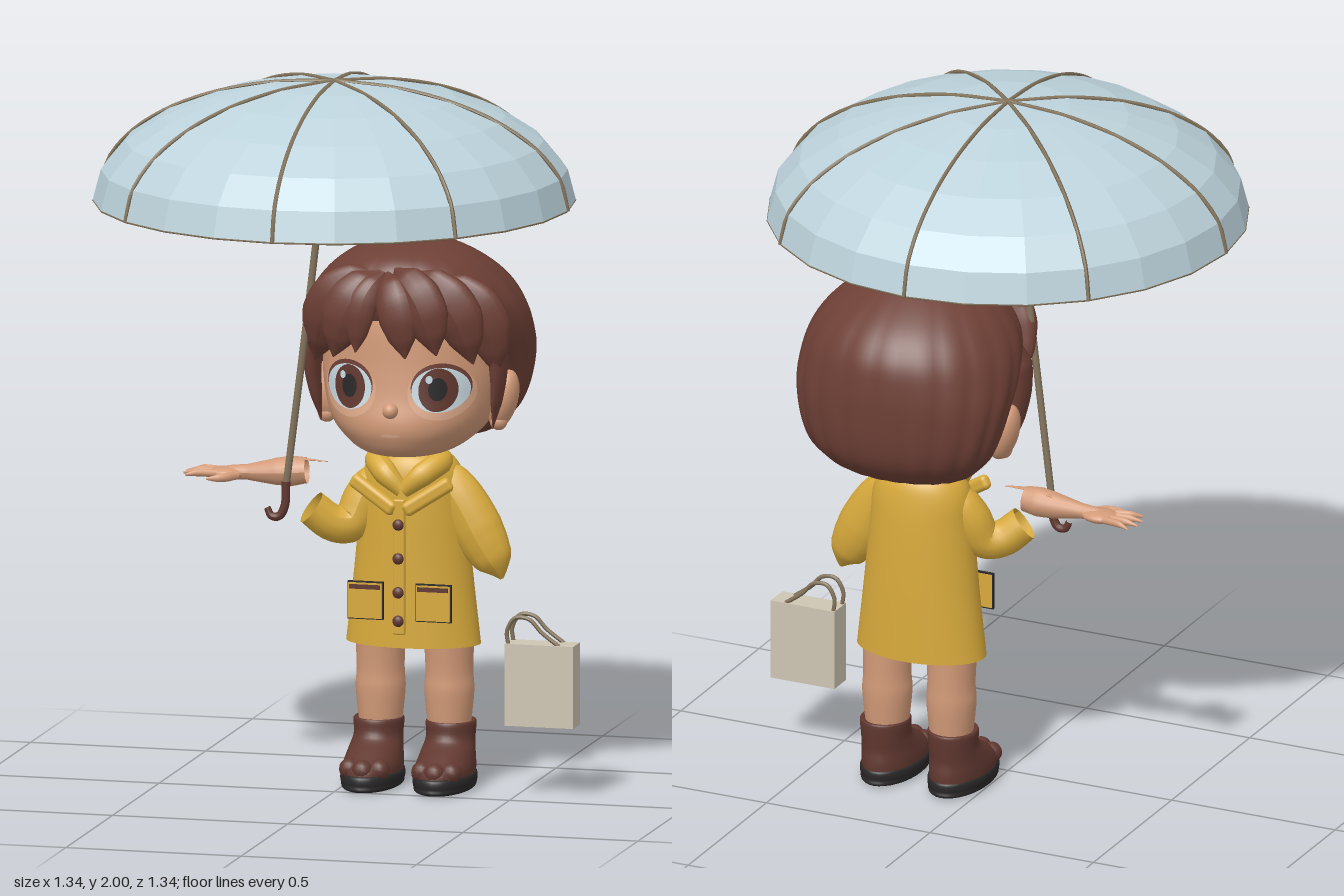
import * as THREE from 'three';
import { RoundedBoxGeometry } from 'three/addons/geometries/RoundedBoxGeometry.js';

const V = (x, y, z) => new THREE.Vector3(x, y, z);
const mat = (name, color, side = THREE.FrontSide) => {
  const m = new THREE.MeshStandardMaterial({ color, side });
  m.name = name;
  return m;
};

// Smooth sampler through keys of [y, rx, rz, cz]
function profile(keys) {
  const a = new THREE.CatmullRomCurve3(keys.map(k => V(k[0], k[1], k[2])), false, 'catmullrom', 0.5);
  const b = new THREE.CatmullRomCurve3(keys.map(k => V(k[3], 0, 0)), false, 'catmullrom', 0.5);
  return t => {
    const p = a.getPoint(t);
    return { y: p.x, rx: Math.max(p.y, 0.001), rz: Math.max(p.z, 0.001), cz: b.getPoint(t).x };
  };
}

// Stack of ellipses, with an optional ripple(angle, t) scaling the radius
function loft(keys, seg = 36, rows = 30, ripple = () => 1) {
  const at = profile(keys), pos = [], idx = [];
  for (let i = 0; i <= rows; i++) {
    const p = at(i / rows);
    for (let j = 0; j < seg; j++) {
      const a = j / seg * Math.PI * 2, r = ripple(a, i / rows);
      pos.push(p.rx * r * Math.sin(a), p.y, p.cz + p.rz * r * Math.cos(a));
      if (i === rows) continue;
      const k = (j + 1) % seg, n = i * seg;
      idx.push(n + j, n + k, n + seg + j, n + k, n + seg + k, n + seg + j);
    }
  }
  const g = new THREE.BufferGeometry();
  g.setAttribute('position', new THREE.Float32BufferAttribute(pos, 3));
  g.setIndex(idx);
  g.computeVertexNormals();
  return g;
}

// Tube through points with changing radius and an optional flattening per axis
function sweep(points, radii, flat = [1, 1, 1], n = 24, sides = 14) {
  const curve = new THREE.CatmullRomCurve3(points.map(p => V(...p)));
  const g = new THREE.TubeGeometry(curve, n, 1, sides);
  const pos = g.attributes.position, v = V(0, 0, 0);
  for (let i = 0; i <= n; i++) {
    const c = curve.getPointAt(i / n), f = i / n * (radii.length - 1);
    const k = Math.min(Math.floor(f), radii.length - 2);
    const r = THREE.MathUtils.lerp(radii[k], radii[k + 1], f - k);
    for (let j = 0; j <= sides; j++) {
      const q = i * (sides + 1) + j;
      v.fromBufferAttribute(pos, q).sub(c).multiplyScalar(r);
      pos.setXYZ(q, c.x + v.x * flat[0], c.y + v.y * flat[1], c.z + v.z * flat[2]);
    }
  }
  g.computeVertexNormals();
  return g;
}

const HEAD = [[.94, .01, .01, -.08], [.955, .12, .14, -.11], [1, .19, .22, -.15], [1.05, .225, .24, -.16],
  [1.12, .245, .235, -.17], [1.2, .25, .225, -.17], [1.35, .24, .22, -.18], [1.45, .17, .17, -.19], [1.5, .01, .01, -.19]];
const headAt = profile(HEAD);
function faceZ(x, y) {
  let lo = 0, hi = 1;
  for (let i = 0; i < 24; i++) {
    const m = (lo + hi) / 2;
    if (headAt(m).y < y) lo = m; else hi = m;
  }
  const p = headAt(lo);
  return p.cz + p.rz * Math.sqrt(Math.max(0, 1 - (x / p.rx) ** 2));
}

// Thin ellipse wrapped on the face
function facePatch(x, y, rx, ry, lift) {
  const g = new THREE.RingGeometry(0, 1, 36, 6), p = g.attributes.position;
  for (let i = 0; i < p.count; i++) {
    const px = x + p.getX(i) * rx, py = y + p.getY(i) * ry;
    p.setXYZ(i, px, py, faceZ(px, py) + lift);
  }
  g.computeVertexNormals();
  return g;
}

export function createModel() {
  const M = {
    skin: mat('skin', 0xd29a78, THREE.DoubleSide), lid: mat('eyelid peach', 0xdca98a),
    hair: mat('hair brown', 0x6e4036), coat: mat('coat yellow', 0xd8aa3c, THREE.DoubleSide),
    canopy: mat('canopy blue', 0xbdd3dc, THREE.DoubleSide), metal: mat('frame taupe', 0x83745c),
    bag: mat('paper beige', 0xcec5b2), brown: mat('leather brown', 0x613830),
    black: mat('sole black', 0x2a2828), white: mat('eye white', 0xc9dbe3),
  };
  const root = new THREE.Group();
  const group = (name, x = 0, y = 0, z = 0) => {
    const g = new THREE.Group();
    g.name = name;
    g.position.set(x, y, z);
    root.add(g);
    return g;
  };
  const add = (parent, name, geo, m, x = 0, y = 0, z = 0) => {
    const mesh = new THREE.Mesh(geo, m);
    mesh.name = name;
    mesh.position.set(x, y, z);
    parent.add(mesh);
    return mesh;
  };

  // Umbrella: faceted dome, ribs, rim, tilted shaft and hooked handle
  const umbrella = group('umbrella');
  const R = .667, H = .335, RIM = 1.66;
  const dome = new THREE.SphereGeometry(R, 24, 6, 0, Math.PI * 2, 0, Math.PI / 2).scale(1, H / R, 1).toNonIndexed();
  dome.computeVertexNormals();
  add(umbrella, 'canopy', dome, M.canopy, 0, RIM);
  for (let i = 0; i < 8; i++) {
    const a = i * Math.PI / 4, pts = [];
    for (let k = 0; k <= 6; k++) {
      const t = k * Math.PI / 12, r = R * Math.sin(t);
      pts.push([r * Math.sin(a), RIM + H * Math.cos(t), r * Math.cos(a)]);
    }
    add(umbrella, 'rib', sweep(pts, [.006, .006], undefined, 24, 6), M.metal);
  }
  add(umbrella, 'rim', new THREE.TorusGeometry(R - .002, .003, 5, 24).rotateX(Math.PI / 2), M.metal, 0, RIM);
  add(umbrella, 'shaft', sweep([[0, 1.99, 0], [-.07, 1.41, -.01], [-.145, .83, -.02]], [.01, .01]), M.metal);
  add(umbrella, 'hookHandle', sweep([[-.143, .86, -.02], [-.147, .79, -.02], [-.163, .762, -.02], [-.185, .762, -.02],
    [-.197, .785, -.02]], [.012, .012, .012, .012, .009]), M.brown);

  // Head with ears, nose, mouth and wrapped eyes
  const head = group('head', .18);
  add(head, 'face', loft(HEAD, 48, 40), M.skin);
  add(head, 'neck', new THREE.CylinderGeometry(.06, .065, .14, 24), M.skin, 0, .94, -.17);
  add(head, 'nose', new THREE.SphereGeometry(.022, 16, 12), M.skin, 0, 1.09, .077);
  add(head, 'mouth', facePatch(0, 1.02, .028, .005, .004), M.lid);
  for (const s of [-1, 1]) {
    const ear = add(head, 'ear', new THREE.SphereGeometry(1, 20, 14).scale(.04, .085, .05), M.skin, s * .255, 1.09, -.18);
    ear.rotation.z = -s * .25;
    add(head, 'earLobe', new THREE.SphereGeometry(.025, 14, 10), M.skin, s * .245, 1.03, -.165);
    add(head, 'eyelid', facePatch(s * .13, 1.14, .085, .077, .004), M.lid);
    add(head, 'lash', facePatch(s * .13, 1.155, .076, .066, .006), M.hair);
    add(head, 'eyeWhite', facePatch(s * .13, 1.147, .073, .062, .008), M.white);
    add(head, 'iris', facePatch(s * .126, 1.148, .05, .06, .011), M.brown);
    add(head, 'pupil', facePatch(s * .126, 1.15, .024, .032, .0125), M.black);
    add(head, 'eyeGlint', facePatch(s * .126 - .022, 1.178, .009, .011, .014), M.white);
  }

  // Hair: grooved bob, swept fringe and side locks
  const hair = group('hair', .18);
  add(hair, 'bob', loft([[.965, .01, .01, -.28], [.975, .17, .1, -.29], [1.03, .25, .155, -.305], [1.1, .29, .18, -.31],
    [1.2, .315, .21, -.29], [1.28, .318, .25, -.25], [1.36, .3, .27, -.215], [1.43, .255, .24, -.195],
    [1.49, .185, .18, -.17], [1.525, .1, .1, -.17], [1.535, .001, .001, -.17]], 120, 44,
  (a, t) => 1 - .035 * (1 - t) * (1 - Math.abs(Math.sin(a * 10)))), M.hair);
  const fringe = [
    [[-.04, 1.46, 0], [-.17, 1.39, .01], [-.25, 1.2, -.05], .075],
    [[-.04, 1.47, .02], [-.12, 1.38, .06], [-.17, 1.23, .05], .07],
    [[-.03, 1.47, .03], [-.08, 1.39, .075], [-.1, 1.25, .075], .045],
    [[-.02, 1.47, .03], [.02, 1.38, .085], [.045, 1.24, .085], .058],
    [[0, 1.48, .02], [.09, 1.39, .075], [.13, 1.25, .07], .068],
    [[.04, 1.47, .01], [.17, 1.37, .03], [.22, 1.22, .01], .075],
    [[.1, 1.45, -.03], [.23, 1.36, -.03], [.27, 1.18, -.06], .07],
  ];
  for (const [a, b, c, r] of fringe)
    add(hair, 'fringeLock', sweep([a, b, c], [.005, r * .8, r, r * .95, r * .65, .002], [1, 1, .5]), M.hair);
  for (const s of [-1, 1])
    add(hair, 'sideLock', sweep([[s * .25, 1.33, -.09], [s * .265, 1.18, -.09], [s * .245, 1.02, -.105]],
      [.01, .055, .045, .03, .002], [.5, 1, 1]), M.hair);

  // Raincoat with collar, placket, buttons and pockets
  const coat = group('raincoat', .18);
  add(coat, 'coatBody', loft([[.4, .19, .117, -.175], [.6, .167, .115, -.175], [.78, .15, .112, -.172],
    [.87, .142, .105, -.17], [.92, .115, .09, -.17], [.95, .065, .06, -.17]], 40), M.coat);
  add(coat, 'placket', new RoundedBoxGeometry(.034, .38, .014, 2, .005), M.coat, 0, .635, -.02);
  for (const y of [.755, .66, .565, .485])
    add(coat, 'button', new THREE.SphereGeometry(.016, 14, 10).scale(1, 1, .7), M.brown, 0, y, -.008);
  for (const s of [-1, 1]) {
    const flap = add(coat, 'collarFlap', new RoundedBoxGeometry(.155, .042, .03, 3, .014), M.coat, s * .077, .833, -.033);
    flap.rotation.set(0, s * .2, s * .56);
    add(coat, 'collarRoll', sweep([[s * .085, .92, -.19], [s * .09, .915, -.12], [s * .05, .885, -.07], [0, .84, -.06]],
      [.02, .034, .034, .02]), M.coat);
    add(coat, 'pocketEdge', new THREE.BoxGeometry(.102, .106, .009), M.black, s * .097, .537, -.024);
    add(coat, 'pocket', new THREE.BoxGeometry(.095, .099, .014), M.coat, s * .097, .537, -.022);
    add(coat, 'pocketSlit', new THREE.BoxGeometry(.088, .012, .008), M.brown, s * .097, .576, -.014);
  }
  add(coat, 'leftSleeve', sweep([[.06, .89, -.165], [.13, .82, -.16], [.2, .7, -.158], [.245, .62, -.155], [.257, .59, -.155]],
    [.035, .062, .068, .072, .074, .068, .055, .005], [1, 1, .76]), M.coat);
  add(coat, 'rightSleeve', sweep([[-.07, .89, -.165], [-.13, .81, -.15], [-.165, .735, -.125], [-.21, .735, -.1], [-.265, .78, -.075]],
    [.035, .055, .058, .055, .052, .05]), M.coat);

  // Outstretched right forearm and hand
  const arm = group('rightArm');
  add(arm, 'forearm', sweep([[-.11, .875, -.12], [-.2, .868, -.115], [-.28, .864, -.11], [-.36, .86, -.11]],
    [.036, .042, .038, .03, .022, .02, .015]), M.skin);
  add(arm, 'elbowSliver', sweep([[-.2, .9, -.12], [-.12, .905, -.12], [-.05, .902, -.12]], [.012, .008, .002], [1, .4, 1.6]), M.skin);
  add(arm, 'palm', new THREE.SphereGeometry(1, 20, 12).scale(.055, .018, .042), M.skin, -.335, .86, -.11);
  for (let i = 0; i < 4; i++) {
    const o = i - 1.5;
    add(arm, 'finger', sweep([[-.35, .86, -.11 + o * .017], [-.41, .862, -.11 + o * .026], [-.462 + Math.abs(o) * .014, .857, -.11 + o * .034]],
      [.011, .011, .01, .003], undefined, 12, 8), M.skin);
  }
  add(arm, 'thumb', sweep([[-.3, .858, -.085], [-.335, .855, -.05], [-.375, .853, -.035]], [.012, .013, .011, .003], undefined, 12, 8), M.skin);

  // Legs and boots
  for (const s of [-1, 1]) {
    const leg = group(s < 0 ? 'rightLeg' : 'leftLeg', .18 + s * .098);
    add(leg, 'leg', loft([[.14, .056, .062, -.19], [.21, .064, .068, -.19], [.27, .069, .072, -.19],
      [.33, .066, .07, -.19], [.46, .072, .075, -.185]], 28), M.skin);
    add(leg, 'boot', loft([[.03, .079, .143, -.125], [.065, .08, .138, -.13], [.1, .074, .108, -.155],
      [.135, .068, .08, -.185], [.178, .07, .077, -.19], [.183, .062, .068, -.19], [.178, .054, .06, -.19]], 32), M.brown, s * .005);
    add(leg, 'sole', loft([[0, .001, .001, -.125], [.001, .07, .135, -.125], [.02, .083, .147, -.124], [.042, .083, .146, -.125],
      [.05, .07, .13, -.125]], 32), M.black, s * .005);
    for (const t of [-1, 0, 1])
      add(leg, 'toeBump', new THREE.SphereGeometry(.03, 14, 10), M.brown, s * .005 + t * .042, .06, -.012 - Math.abs(t) * .022);
  }

  // Paper bag with two cord handles
  const bag = group('shoppingBag', .573, .315, -.078);
  add(bag, 'bagBody', new THREE.BoxGeometry(.195, .23, .074), M.bag);
  for (const z of [-.028, .028])
    add(bag, 'bagHandle', sweep([[-.09, .113, z], [-.093, .15, z], [-.07, .187, z], [-.03, .185, z], [.005, .15, z], [.055, .113, z]],
      [.006, .006], undefined, 28, 8), M.metal);
  return root;
}
